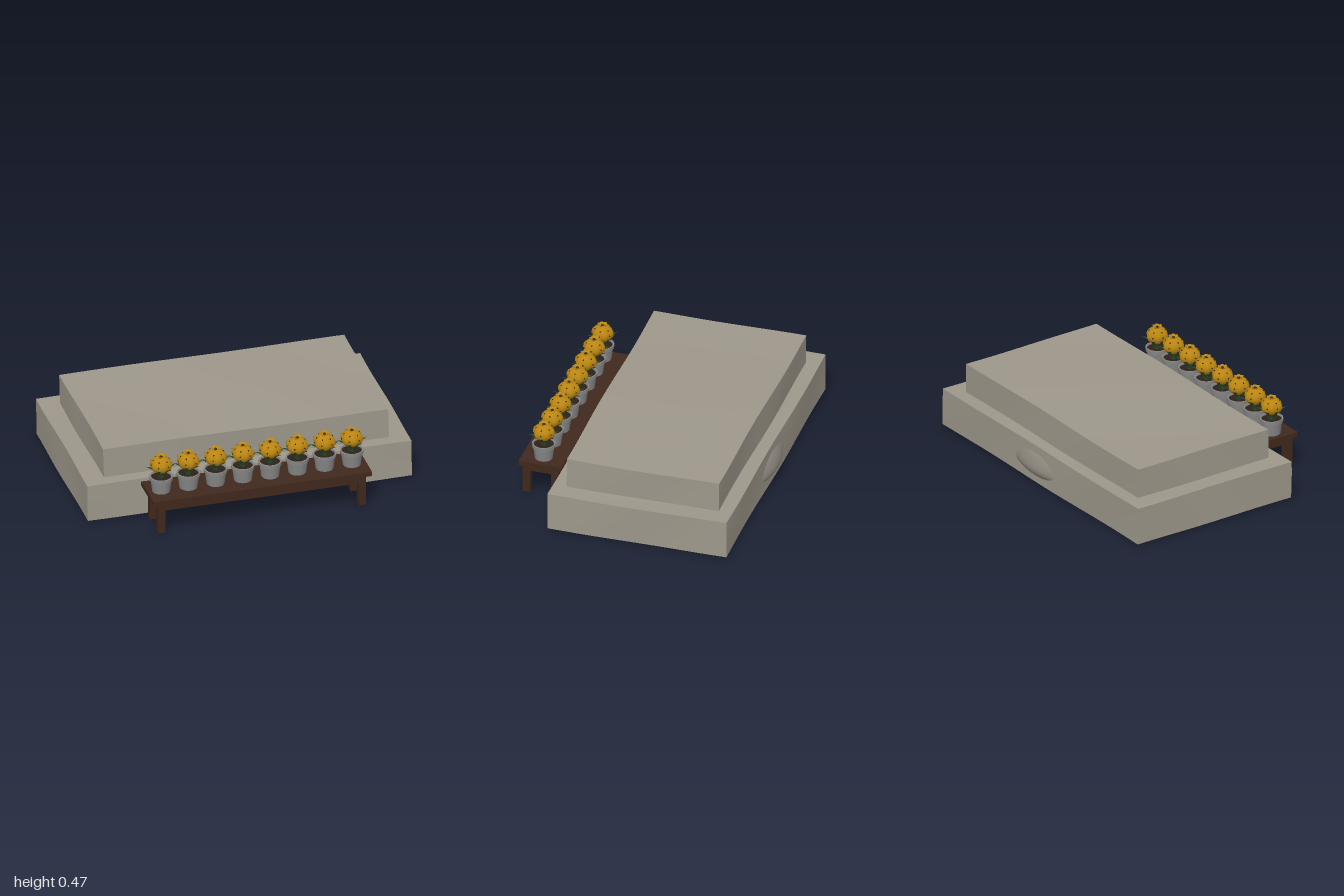
import * as THREE from 'three';
import { toCreasedNormals } from 'three/addons/utils/BufferGeometryUtils.js';

const mat = (color, side = THREE.FrontSide) => new THREE.MeshStandardMaterial({ color, side });
const stone = mat(0x9d978a, THREE.DoubleSide);
const rock = mat(0x8f8a80, THREE.DoubleSide);
const wood = mat(0x40281c);
const potGrey = mat(0x868686, THREE.DoubleSide);
const soil = mat(0x2e2118);
const green = mat(0x2c4a2c, THREE.DoubleSide);
const yellow = mat(0xb98512, THREE.DoubleSide);
const brown = mat(0x3d2c10);

function add(parent, name, geometry, material, x = 0, y = 0, z = 0) {
  const mesh = new THREE.Mesh(geometry, material);
  mesh.name = name;
  mesh.position.set(x, y, z);
  parent.add(mesh);
  return mesh;
}

function moveVertices(geometry, rule) {
  const p = geometry.attributes.position;
  const v = new THREE.Vector3();
  for (let i = 0; i < p.count; i++) {
    rule(v.fromBufferAttribute(p, i));
    p.setXYZ(i, v.x, v.y, v.z);
  }
  geometry.computeVertexNormals();
  return geometry;
}

const lathe = (points, sides) =>
  new THREE.LatheGeometry(points.map(([r, y]) => new THREE.Vector2(r, y)), sides);

// Weathered slab: a gently uneven box that is open underneath
function slabGeometry(w, h, d) {
  const g = new THREE.BoxGeometry(w, h, d, 16, 3, 10);
  const index = Array.from(g.index.array);
  const bottom = g.groups[3];
  index.splice(bottom.start, bottom.count);
  g.setIndex(index);
  g.clearGroups();
  moveVertices(g, (v) => {
    const { x, y, z } = v;
    v.x += 0.003 * Math.sin(7 * z + 9 * y);
    v.y += 0.004 * Math.sin(4.3 * x + 1) * Math.cos(3.1 * z);
    v.z += 0.004 * Math.sin(5 * x + 8 * y);
  });
  return toCreasedNormals(g, 0.7);
}

// Rounded boulder under the slabs, bulging slightly through the back
function boulderGeometry() {
  const curve = new THREE.CatmullRomCurve3([
    [0, 0.008], [0.5, 0.008], [0.8, 0.012], [0.93, 0.045], [1, 0.1],
    [0.96, 0.18], [0.85, 0.235], [0.5, 0.245], [0, 0.245],
  ].map(([r, y]) => new THREE.Vector3(r, y, 0)));
  const profile = curve.getPoints(40).map((p) => [Math.max(0, p.x), p.y]);
  return moveVertices(lathe(profile, 56), (v) => {
    v.x *= 0.58;
    v.z *= 0.57;
    v.y -= 0.012 * v.z;
  });
}

function buildTable() {
  const table = new THREE.Group();
  table.name = 'table';
  add(table, 'tableTop', new THREE.BoxGeometry(1.34, 0.027, 0.265), wood, 0, 0.2275, 0.5725);
  for (const s of [-1, 1]) {
    add(table, 'longApron', new THREE.BoxGeometry(1.27, 0.05, 0.02), wood, 0, 0.19, 0.578 + s * 0.098);
    add(table, 'endApron', new THREE.BoxGeometry(0.02, 0.05, 0.21), wood, s * 0.625, 0.19, 0.578);
    for (const t of [-1, 1]) {
      add(table, 'leg', new THREE.BoxGeometry(0.044, 0.195, 0.046), wood, s * 0.615, 0.1175, 0.579 + t * 0.088);
    }
  }
  return table;
}

// Pointed leaf: a strip that arches outward along +z
const leafGeometry = moveVertices(new THREE.PlaneGeometry(1, 1, 2, 8), (v) => {
  const t = v.y + 0.5;
  const width = 0.036 * Math.sin(Math.PI * Math.min(0.97 * t + 0.1, 1)) + 0.001;
  const fold = 0.014 * Math.abs(v.x) * Math.sin(Math.PI * t);
  v.set(v.x * width, 0.095 * t - 0.018 * t * t + fold, 0.02 + 0.025 * t + 0.05 * t * t);
});

// Short petal that curls outward at its tip
const petalGeometry = moveVertices(new THREE.PlaneGeometry(1, 1, 4, 5), (v) => {
  const t = v.y + 0.5;
  const width = 0.034 * Math.sqrt(Math.max(0, 1 - (1.5 * t - 0.6) ** 2));
  v.set(v.x * width, 0.026 * t - 0.008 * t * t, 0.012 + 0.019 * t * t - 0.01 * v.x * v.x);
});

// Blossom: a lobed ball, slightly wider than tall
const blossomGeometry = moveVertices(new THREE.SphereGeometry(1, 36, 18), (v) => {
  const a = Math.atan2(v.x, v.z);
  const r = 0.064 * (1 + 0.055 * Math.cos(6 * a) * Math.hypot(v.x, v.z));
  v.set(v.x * r, v.y * 0.052, v.z * r);
});

const potGeometry = toCreasedNormals(lathe([
  [0, 0], [0.053, 0], [0.063, 0.078], [0.069, 0.078], [0.07, 0.1], [0.062, 0.1], [0.06, 0.088],
], 20), 0.6);
const soilGeometry = new THREE.CylinderGeometry(0.061, 0.058, 0.012, 20);
const stemGeometry = new THREE.CylinderGeometry(0.012, 0.016, 0.05, 8);
const dotGeometry = new THREE.SphereGeometry(0.005, 6, 4);
const centreGeometry = new THREE.SphereGeometry(0.011, 10, 6);

function buildPlant() {
  const plant = new THREE.Group();
  plant.name = 'pottedFlower';
  add(plant, 'pot', potGeometry, potGrey);
  add(plant, 'soil', soilGeometry, soil, 0, 0.084, 0);
  add(plant, 'stem', stemGeometry, green, 0, 0.112, 0);
  add(plant, 'blossom', blossomGeometry, yellow, 0, 0.175, 0);
  add(plant, 'flowerCentre', centreGeometry, brown, 0, 0.224, 0);
  for (let i = 0; i < 6; i++) {
    const a = (i * Math.PI) / 3;
    add(plant, 'leaf', leafGeometry, green, 0, 0.094, 0).rotation.y = a + 0.5;
    add(plant, 'crownPetal', petalGeometry, yellow, 0, 0.217, 0).rotation.y = a;
    // dark specks in the creases between lobes
    for (const [r, y] of [[0.061, 0.178], [0.047, 0.208]]) {
      const b = a + Math.PI / 6;
      add(plant, 'speck', dotGeometry, brown, r * Math.sin(b), y, r * Math.cos(b));
    }
  }
  return plant;
}

export function createModel() {
  const model = new THREE.Group();
  model.name = 'stonePlatformWithFlowerTable';
  add(model, 'lowerSlab', slabGeometry(1.99, 0.234, 1.105), stone, 0, 0.136, -0.125);
  add(model, 'upperSlab', slabGeometry(1.75, 0.187, 0.94), stone, 0, 0.3465, -0.124);
  add(model, 'boulder', boulderGeometry(), rock, 0.05, 0, -0.14);
  model.add(buildTable());
  // row of potted flowers along the table
  for (let i = 0; i < 8; i++) {
    const plant = buildPlant();
    plant.position.set(-0.587 + i * 0.167, 0.241, 0.575);
    model.add(plant);
  }
  return model;
}
